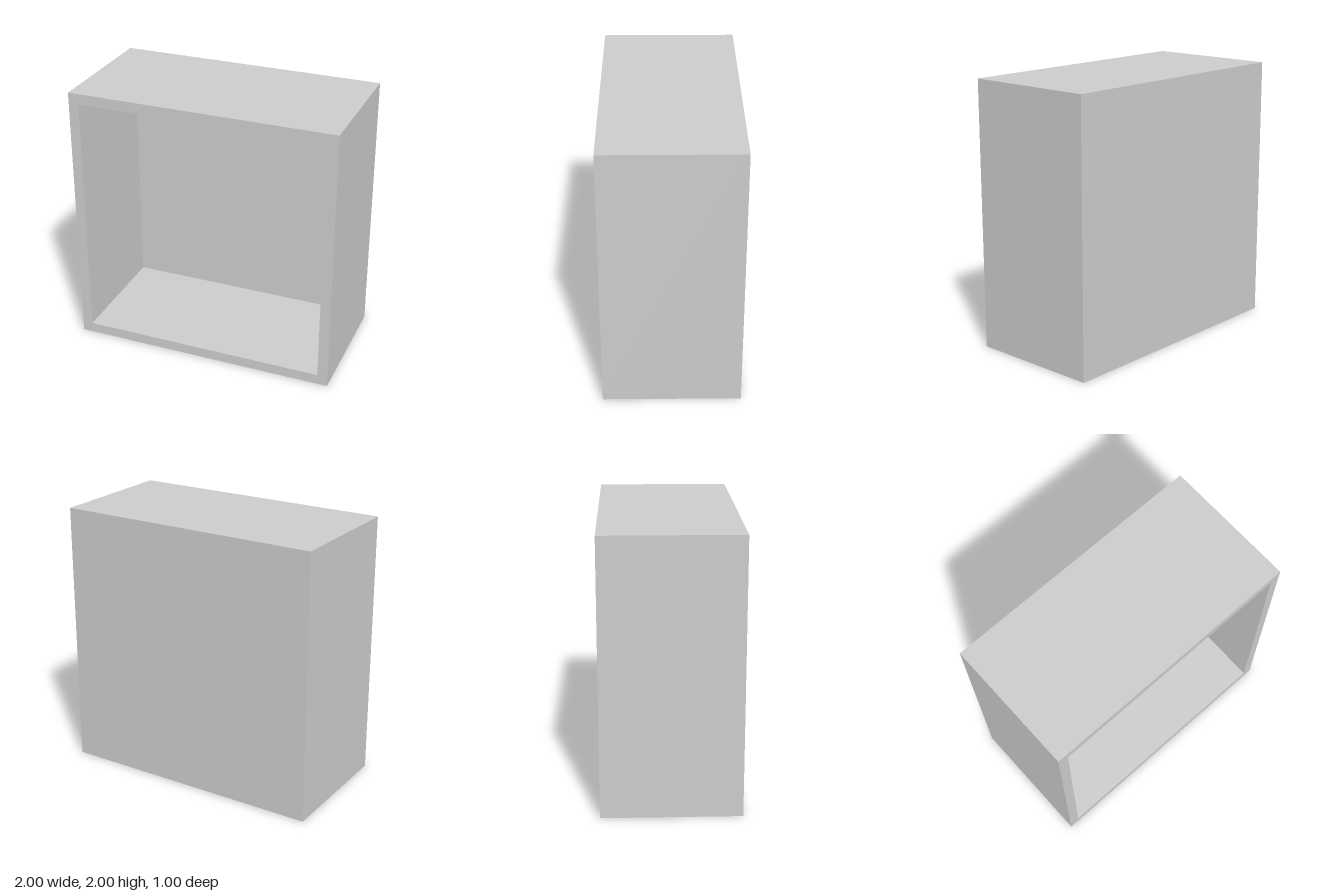
import * as THREE from 'three';

const SIZE = 2, DEPTH = 1, WALL = 0.077;

export function createModel() {
  const group = new THREE.Group();
  group.name = 'openBox';

  // Half section of the box: back centre, outer wall, front rim, inner wall, inner back
  const outer = SIZE / 2, inner = outer - WALL;
  const section = [
    [0, 0], [outer, 0], [outer, DEPTH],
    [inner, DEPTH], [inner, WALL], [0, WALL],
  ].map(([r, h]) => new THREE.Vector2(r * Math.SQRT2, h));

  // Four-sided lathe gives a square, watertight shell; turn its opening to the front
  const geometry = new THREE.LatheGeometry(section, 4).toNonIndexed();
  geometry.rotateY(Math.PI / 4);
  geometry.rotateX(Math.PI / 2);
  geometry.translate(0, SIZE / 2, -DEPTH / 2);
  geometry.computeVertexNormals();

  const shell = new THREE.Mesh(
    geometry,
    new THREE.MeshStandardMaterial({ color: 0xcccccc, flatShading: true })
  );
  shell.name = 'boxShell';
  group.add(shell);
  return group;
}
